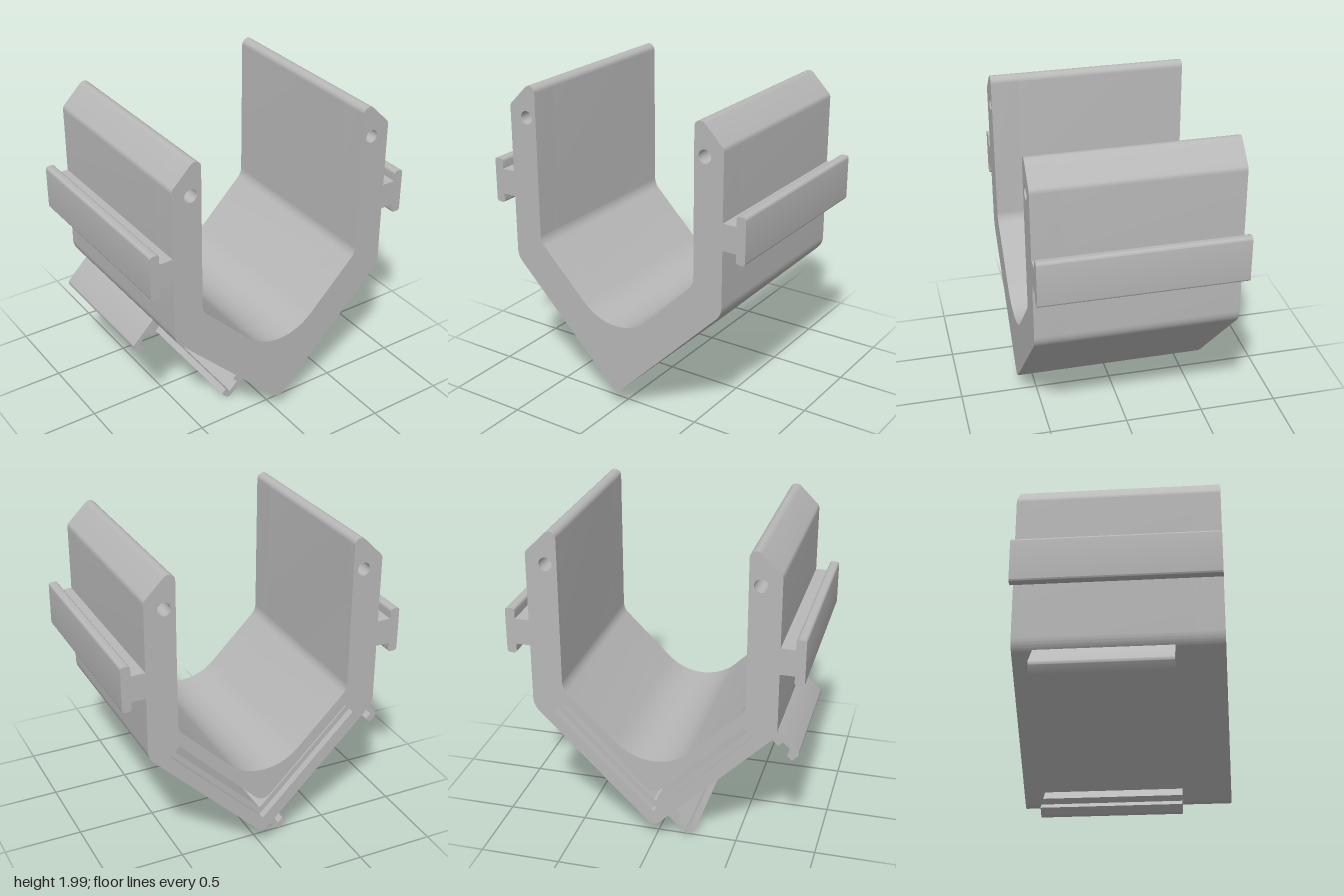
import * as THREE from 'three';
import { toCreasedNormals } from 'three/addons/utils/BufferGeometryUtils.js';

// Closed outline from corners [x, y, radius]; each corner is rounded by its radius
function outline(corners, Type = THREE.Shape) {
  const path = new Type();
  const n = corners.length;
  for (let i = 0; i < n; i++) {
    const [p, c, q] = [corners[(i + n - 1) % n], corners[i], corners[(i + 1) % n]]
      .map(([x, y]) => new THREE.Vector2(x, y));
    const a = p.sub(c).normalize();
    const b = q.sub(c).normalize();
    const r = c.r = corners[i][2] || 0;
    const turn = Math.PI - Math.acos(THREE.MathUtils.clamp(a.dot(b), -1, 1));
    const t = r * Math.tan(turn / 2);
    const h = t - r * (4 / 3) * Math.tan(turn / 4);
    const at = (d, k) => c.clone().addScaledVector(d, k);
    const s = at(a, t), e = at(b, t), h1 = at(a, h), h2 = at(b, h);
    if (i === 0) path.moveTo(s.x, s.y);
    else path.lineTo(s.x, s.y);
    if (r > 0) path.bezierCurveTo(h1.x, h1.y, h2.x, h2.y, e.x, e.y);
  }
  path.closePath();
  return path;
}

// Mirror a half profile (x > 0) into a full symmetric loop
const mirrorX = (half) => half.map(([x, y, r]) => [-x, y, r]).reverse();

export function createModel() {
  const group = new THREE.Group();
  const grey = new THREE.MeshStandardMaterial({ color: 0xb8b8b8 });
  grey.name = 'plain grey';

  const add = (name, shape, z0, z1) => {
    const geo = new THREE.ExtrudeGeometry(shape, { depth: z1 - z0, bevelEnabled: false, curveSegments: 14 });
    geo.translate(0, 0, z0);
    const mesh = new THREE.Mesh(toCreasedNormals(geo, 0.5), grey);
    mesh.name = name;
    group.add(mesh);
  };

  // Cradle: two upright arms joined by a V-shaped base
  const arm = [
    [0.757, 0.862, 0.12], [0.757, 1.863, 0.04], [0.565, 2.055, 0.04], [0.565, 1.005, 0.1],
  ];
  const cradle = (slot) => {
    const shape = outline([[0, 0.105, 0.048], ...arm, [0, 0.44, 0.333], ...mirrorX(arm)]);
    for (const side of [1, -1]) {
      shape.holes.push(new THREE.Path().absarc(side * 0.635, 1.797, 0.041, 0, Math.PI * 2));
    }
    if (slot) shape.holes.push(slot);
    return shape;
  };

  // V-shaped slot between two 45 degree lines that cross x = 0 at the given heights
  const vSlot = (low, high) => {
    const sum = 1.451; // x + y at the closed ends
    const end = (y0) => [(sum - y0) / 2, (sum + y0) / 2, 0];
    const o = end(low), i = end(high);
    return outline([
      [0, low, 0.015], o, i, [0, high, 0.07], ...mirrorX([o, i]).slice(0, 2),
    ], THREE.Path);
  };

  // Back layers: shallow wide recess, then a deep narrow slot, then solid
  add('cradleBackRim', cradle(vSlot(0.217, 0.337)), -0.625, -0.58);
  add('cradleMiddle', cradle(vSlot(0.265, 0.337)), -0.58, 0.45);
  add('cradleFront', cradle(), 0.45, 0.625);

  // T-shaped rails on the outside of both arms
  const rail = [
    [0.757, 1.265], [0.845, 1.265], [0.845, 1.205, 0.018], [0.905, 1.205, 0.018],
    [0.905, 1.495, 0.018], [0.845, 1.495, 0.018], [0.845, 1.43], [0.757, 1.43],
  ];
  add('leftRail', outline(rail), -0.625, 0.625);
  add('rightRail', outline(mirrorX(rail)), -0.625, 0.625);

  // Pair of hooked clips facing each other under the right slope
  const clip = [
    [-0.72, 0.853], [-0.883, 0.69, 0.028], [-0.83, 0.637], [-0.8, 0.667], [-0.831, 0.698],
    [-0.774, 0.755], [-0.744, 0.725], [-0.68, 0.789],
  ];
  add('upperClip', outline(clip), -0.5, 0.335);
  add('lowerClip', outline(clip.map(([x, y, r]) => [y - 0.875, x + 0.875, r])), -0.5, 0.335);

  return group;
}
